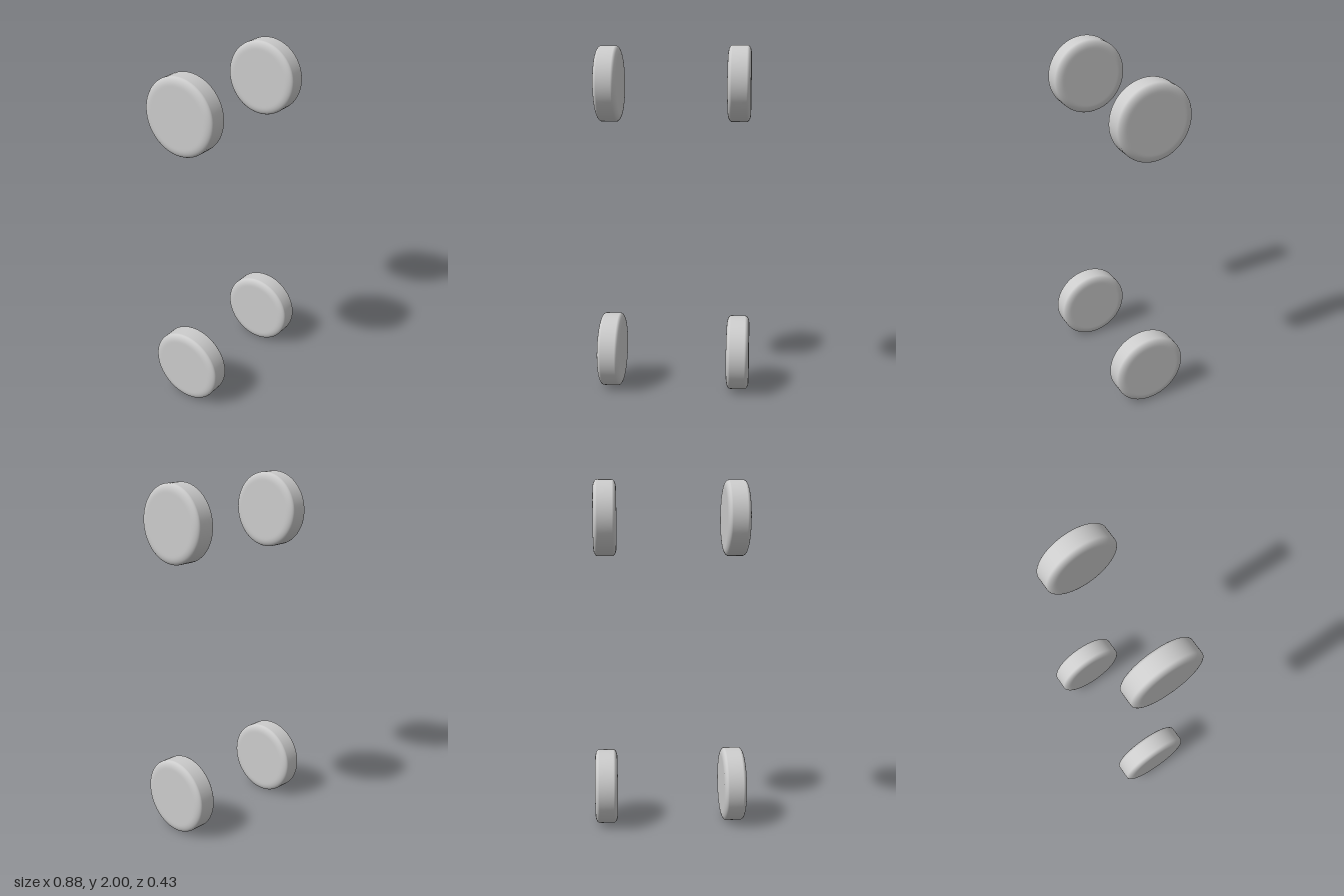
import * as THREE from 'three';

const RADIUS = 0.2155, WIDTH = 0.131;
const SHOULDER_X = 0.024, SHOULDER_R = 0.045; // elliptical rounding: across the width, along the radius

// Solid wheel: flat faces, softly rounded shoulders, flat tread; axle along x
function wheelGeometry() {
  const half = WIDTH / 2, steps = 8;
  const upper = [];
  for (let i = 0; i <= steps; i++) {
    const a = (i / steps) * Math.PI / 2;
    upper.push(new THREE.Vector2(
      RADIUS - SHOULDER_R + SHOULDER_R * Math.cos(a),
      half - SHOULDER_X + SHOULDER_X * Math.sin(a)));
  }
  upper.push(new THREE.Vector2(RADIUS - SHOULDER_R - 0.01, half), new THREE.Vector2(0, half));
  const lower = upper.map(p => new THREE.Vector2(p.x, -p.y)).reverse();
  return new THREE.LatheGeometry([...lower, ...upper], 64).rotateZ(-Math.PI / 2);
}

export function createModel() {
  const group = new THREE.Group();
  group.name = 'wheelSet';
  const geometry = wheelGeometry();
  const material = new THREE.MeshStandardMaterial({ color: 0xcccccc });

  // The two pairs sit very slightly offset sideways from each other
  const wheels = [
    ['upperRightWheel', -0.376, 2 - RADIUS],
    ['upperLeftWheel', 0.371, 2 - RADIUS],
    ['lowerRightWheel', -0.371, RADIUS],
    ['lowerLeftWheel', 0.376, RADIUS],
  ];
  for (const [name, x, y] of wheels) {
    const wheel = new THREE.Mesh(geometry, material);
    wheel.name = name;
    wheel.position.set(x, y, 0);
    group.add(wheel);
  }
  return group;
}
